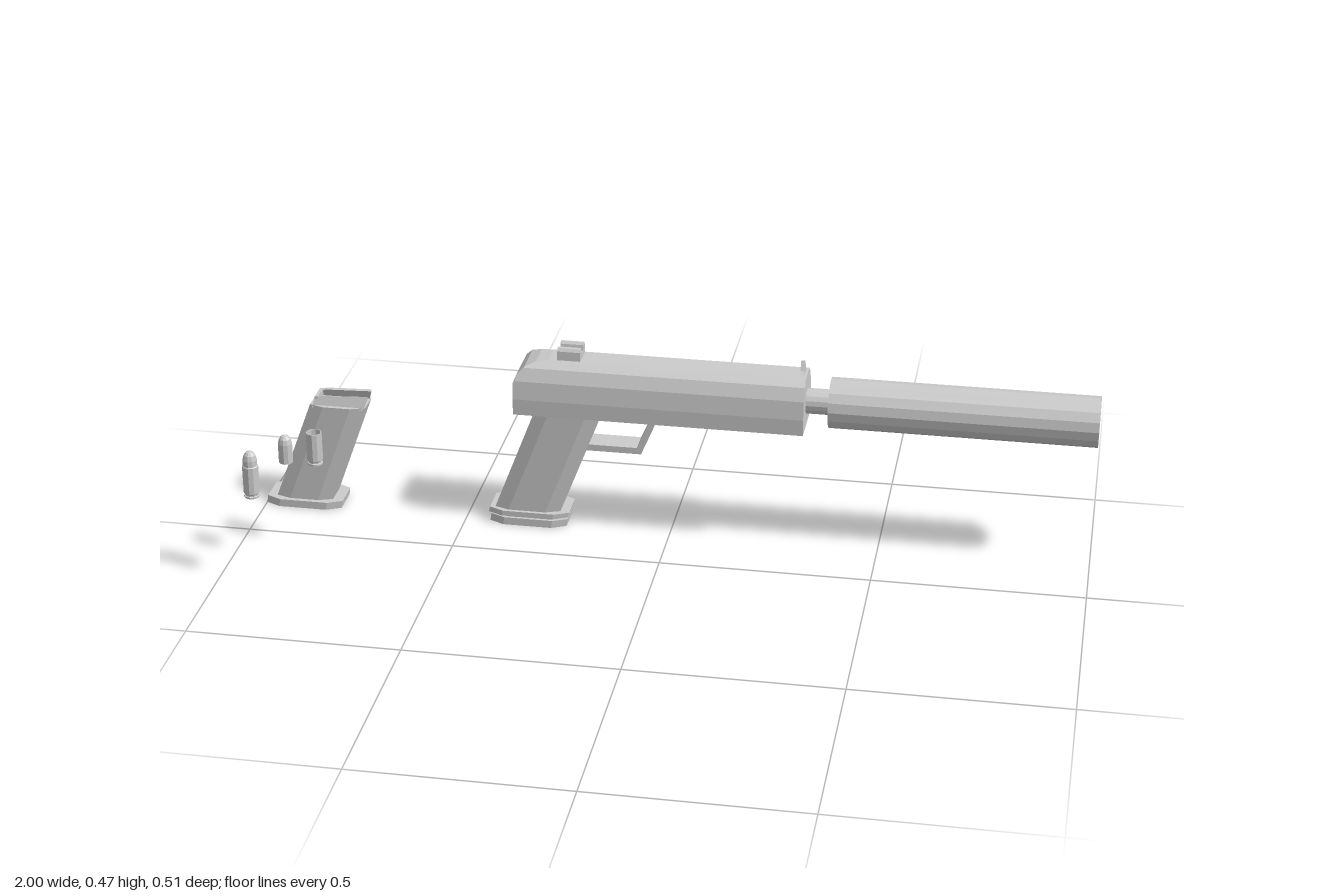
import * as THREE from 'three';

const mat = new THREE.MeshStandardMaterial({ color: 0xcccccc, flatShading: true, side: THREE.DoubleSide });

function add(parent, name, geometry) {
  const mesh = new THREE.Mesh(geometry, mat);
  mesh.name = name;
  parent.add(mesh);
  return mesh;
}

// Skin a series of rings; each runs counterclockwise seen from the far end
function loft(rings) {
  const n = rings[0].length, pos = [];
  const tri = (a, b, c) => pos.push(...a, ...b, ...c);
  for (let k = 0; k < rings.length - 1; k++) {
    const a = rings[k], b = rings[k + 1];
    for (let i = 0; i < n; i++) {
      const j = (i + 1) % n;
      tri(a[i], a[j], b[j]);
      tri(a[i], b[j], b[i]);
    }
  }
  const first = rings[0], last = rings[rings.length - 1];
  for (let i = 1; i < n - 1; i++) {
    tri(first[0], first[i + 1], first[i]);
    tri(last[0], last[i], last[i + 1]);
  }
  const g = new THREE.BufferGeometry();
  g.setAttribute('position', new THREE.Float32BufferAttribute(pos, 3));
  g.computeVertexNormals();
  return g;
}

// Horizontal chamfered outline from x0 to x1 at height y, half width w, end half width e
function octagon(x0, x1, y, w, e, c = 0.035) {
  return [[x1, e], [x1 - c, w], [x0 + c, w], [x0, e], [x0, -e], [x0 + c, -w], [x1 - c, -w], [x1, -e]]
    .map(([x, u]) => [x, y, -u]);
}

// Slide cross-section, cut off flat at a height
const SLIDE = [[0.07, 0.305], [0.071, 0.345], [0.066, 0.39], [0.052, 0.42], [0.03, 0.435]];
function slideRing(x, cap) {
  const half = SLIDE.map(([w, y], i) => {
    if (y <= cap) return [w, y];
    let k = i;
    while (SLIDE[k - 1][1] > cap) k--;
    const [wa, ya] = SLIDE[k - 1], [wb, yb] = SLIDE[k];
    return [wa + (wb - wa) * (cap - ya) / (yb - ya), cap];
  });
  const other = half.map(([w, y]) => [-w, y]).reverse();
  return [...half, ...other].map(([u, y]) => [x, y, -u]);
}

// Turned part: pairs of radius and distance along the axis
function turned(points, sides) {
  return new THREE.LatheGeometry(points.map(([r, y]) => new THREE.Vector2(r, y)), sides);
}

// Extruded outline centred on its depth
function plate(points, depth) {
  const g = new THREE.ExtrudeGeometry(new THREE.Shape(points.map(p => new THREE.Vector2(...p))),
    { depth, bevelEnabled: false });
  return g.translate(0, 0, -depth / 2);
}

function buildPistol() {
  const g = new THREE.Group();
  g.name = 'pistol';

  add(g, 'slide', loft([[-0.37, 0.385], [-0.362, 0.405], [-0.345, 0.422], [-0.32, 0.431], [-0.29, 0.435], [0.32, 0.435]]
    .map(([x, cap]) => slideRing(x, cap))));

  // Barrel and hollow-ended suppressor
  const barrel = add(g, 'barrel', new THREE.CylinderGeometry(0.03, 0.03, 0.08, 16));
  barrel.rotation.z = -Math.PI / 2;
  barrel.position.set(0.345, 0.364, 0);
  const can = add(g, 'suppressor', turned(
    [[0, 0], [0.06, 0], [0.06, 0.625], [0.015, 0.625], [0.015, 0.5], [0, 0.5]], 16));
  can.rotation.z = -Math.PI / 2;
  can.position.set(0.375, 0.364, 0);

  // Raked grip with a two-layer foot
  add(g, 'grip', loft([
    octagon(-0.43, -0.27, 0.03, 0.0455, 0.0325),
    octagon(-0.322, -0.162, 0.31, 0.0455, 0.0325)]));
  add(g, 'gripFoot', loft([
    octagon(-0.44, -0.252, 0, 0.053, 0.036),
    octagon(-0.437, -0.249, 0.019, 0.053, 0.036),
    octagon(-0.43, -0.256, 0.019, 0.046, 0.031),
    octagon(-0.428, -0.254, 0.024, 0.046, 0.031),
    octagon(-0.443, -0.248, 0.024, 0.054, 0.037),
    octagon(-0.44, -0.245, 0.037, 0.054, 0.037)]));

  add(g, 'triggerGuard', plate([[-0.21, 0.205], [-0.07, 0.205], [-0.027, 0.307],
    [-0.042, 0.307], [-0.08, 0.221], [-0.21, 0.221]], 0.06));

  // Notched rear sight
  const side = [[0.008, 0.446], [0.011, 0.46], [0.016, 0.465], [0.023, 0.464], [0.028, 0.457], [0.029, 0.433]];
  const rear = add(g, 'rearSight', plate(
    [...side, ...side.map(([x, y]) => [-x, y]).reverse()], 0.055));
  rear.rotation.y = Math.PI / 2;
  rear.position.x = -0.242;

  // Flared front sight blade
  const front = add(g, 'frontSight', plate(
    [[-0.024, 0.433], [0.024, 0.433], [0.012, 0.444], [0, 0.466], [-0.012, 0.444]], 0.01));
  front.rotation.y = Math.PI / 2;
  front.position.x = 0.309;
  return g;
}

function buildMagazine() {
  const g = new THREE.Group();
  g.name = 'magazine';
  add(g, 'magazineFoot', loft([
    octagon(-1, -0.812, 0, 0.053, 0.036),
    octagon(-0.997, -0.809, 0.019, 0.053, 0.036)]));
  add(g, 'magazineBody', loft([
    octagon(-0.976, -0.836, 0.015, 0.042, 0.03),
    octagon(-0.879, -0.742, 0.272, 0.042, 0.03)]));
  // Feed lips leaning inward over the opening
  for (const s of [-1, 1]) {
    const lip = add(g, 'feedLip', plate(
      [[-0.874, 0.265], [-0.748, 0.265], [-0.738, 0.299], [-0.85, 0.294], [-0.868, 0.285]], 0.007));
    lip.geometry.translate(0, -0.265, 0);
    lip.rotation.x = -s * 0.35;
    lip.position.set(0, 0.265, s * 0.031);
  }
  const wall = add(g, 'rearWall', new THREE.BoxGeometry(0.008, 0.028, 0.05));
  wall.position.set(-0.864, 0.277, 0);
  return g;
}

export function createModel() {
  const model = new THREE.Group();
  const arms = new THREE.Group();
  arms.name = 'pistolAndMagazine';
  arms.position.z = -0.182;
  arms.add(buildPistol(), buildMagazine());
  model.add(arms);

  // Cartridge, loose bullet and empty case
  const rim = [[0, 0], [0.018, 0], [0.018, 0.004], [0.0155, 0.005], [0.0155, 0.008], [0.0185, 0.011]];
  const nose = h => [[0.0165, h - 0.022], [0.0135, h - 0.01], [0.008, h - 0.003], [0, h]];
  const rounds = [
    ['cartridge', [...rim, [0.0185, 0.078], [0.0165, 0.08], ...nose(0.116)], -0.91, 0.217, 0.235],
    ['bullet', [[0, 0], [0.0165, 0], ...nose(0.07)], -0.856, 0.26, 0.134],
    ['emptyCase', [...rim, [0.0185, 0.081], [0.0165, 0.081], [0.0165, 0.012], [0, 0.012]], -0.81, 0.221, 0.055],
  ];
  for (const [name, profile, x, y, z] of rounds) {
    add(model, name, turned(profile, 10)).position.set(x, y, z);
  }
  return model;
}
